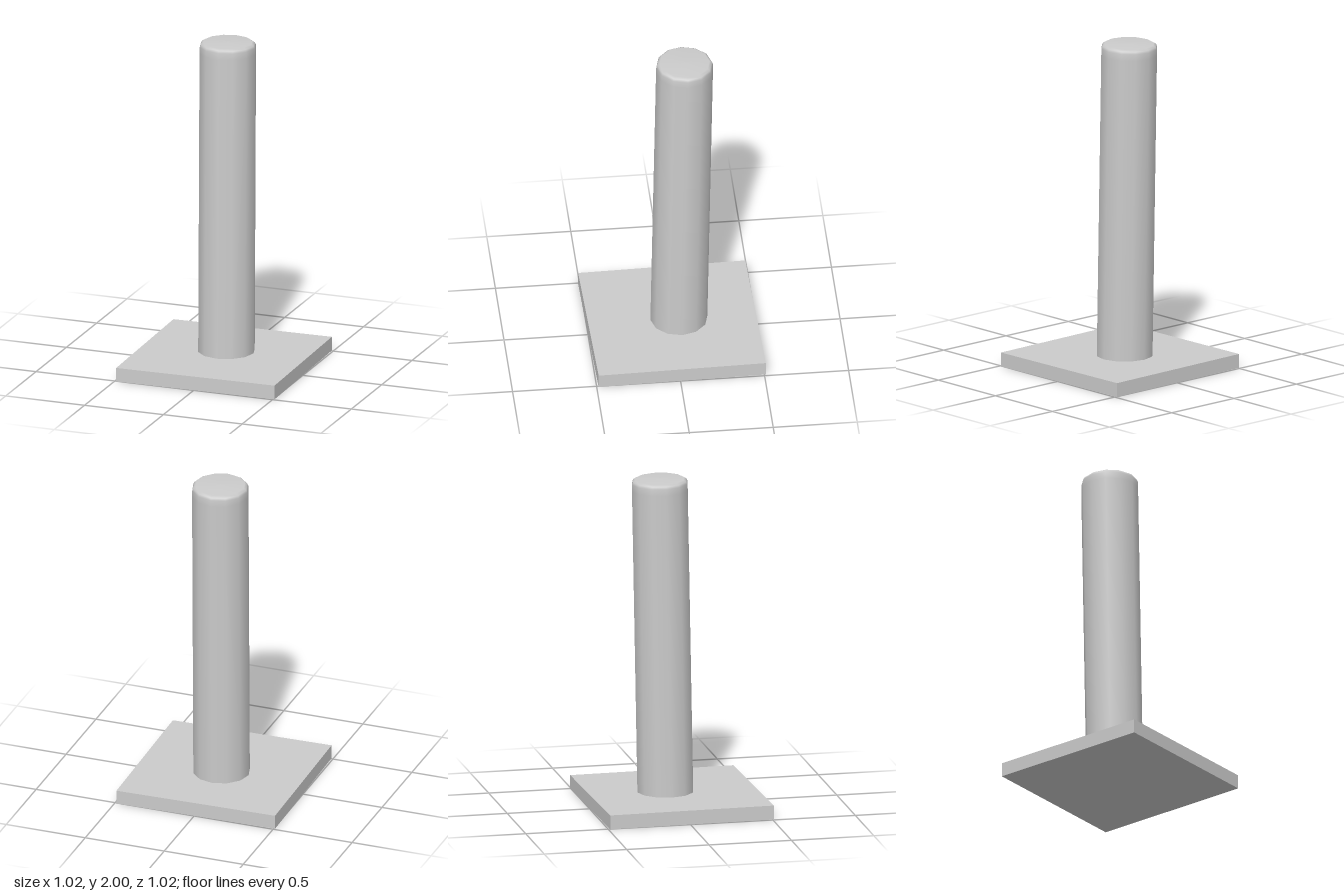
import * as THREE from 'three';

export function createModel() {
  const model = new THREE.Group();
  model.name = 'postOnBase';
  const material = new THREE.MeshStandardMaterial({ color: 0xcccccc });

  // Square base plate, turned very slightly
  const yaw = 0.02;
  const plateHeight = 0.085;
  const plate = new THREE.Mesh(new THREE.BoxGeometry(0.997, plateHeight, 0.997), material);
  plate.name = 'basePlate';
  plate.position.y = plateHeight / 2;
  plate.rotation.y = yaw;
  model.add(plate);

  // Twelve-sided post with a softly bevelled top, leaning a little backwards
  const profile = [
    [0, 0], [0.17, 0], [0.17, 0.02], [0.17, 1.89],
    [0.169, 1.93], [0.163, 1.944], [0.148, 1.954], [0, 1.957],
  ].map(([r, y]) => new THREE.Vector2(r, y));
  const post = new THREE.Mesh(new THREE.LatheGeometry(profile, 12), material);
  post.name = 'post';
  post.position.set(0, 0.04, -0.04);
  post.rotation.set(-0.0185, yaw, 0.0026);
  model.add(post);

  return model;
}
